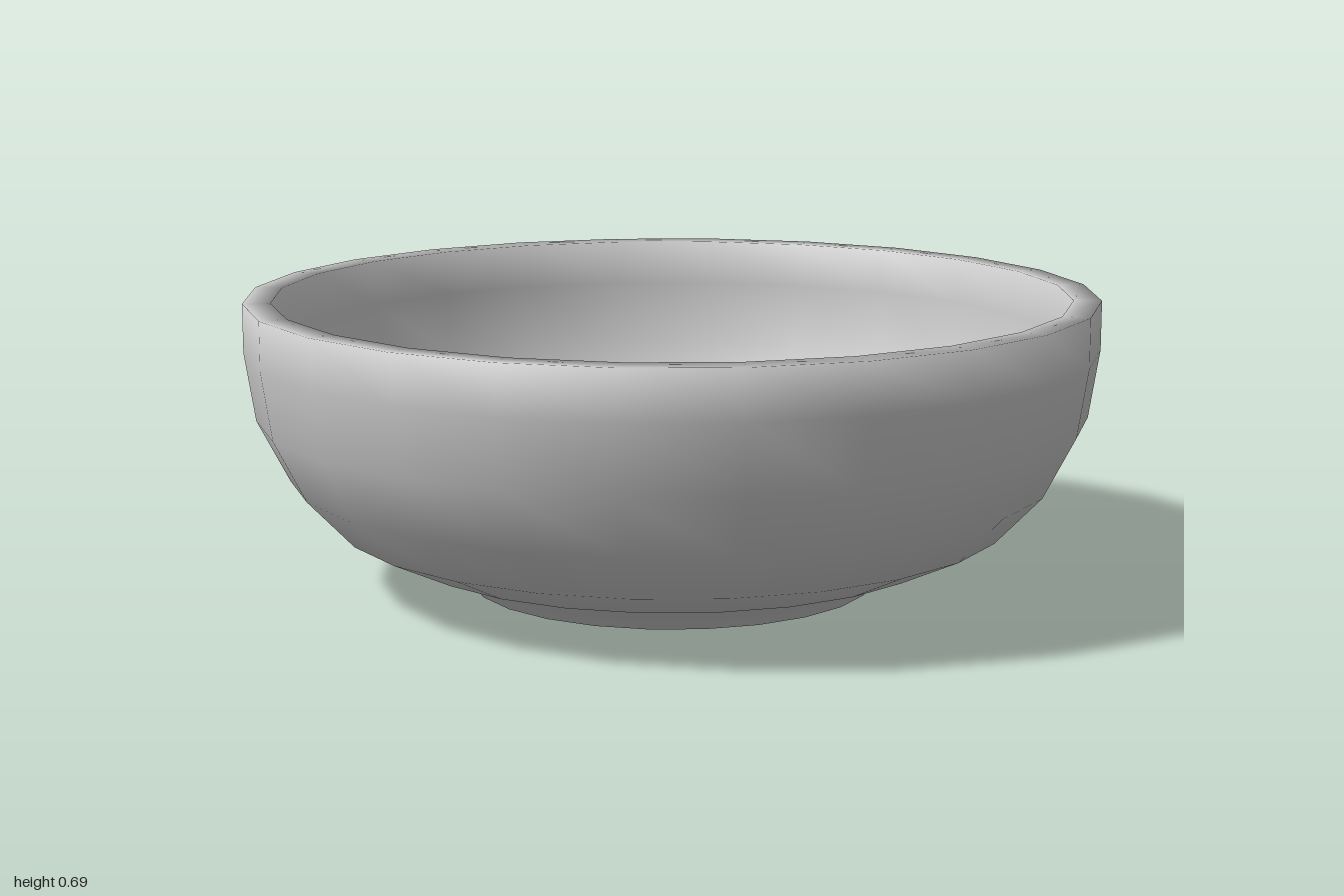
import * as THREE from 'three';

export function createModel() {
  const group = new THREE.Group();
  group.name = 'bowl';
  const material = new THREE.MeshStandardMaterial({ color: 0xcccccc });

  // Closed profile [radius, height]: underside, foot ring, outer wall, rim, inner wall
  const underside = [[0, 0.05], [0.355, 0.05], [0.42, 0]];
  const foot = [[0.48, 0], [0.48, 0.05]];
  const outerWall = [[0.64, 0.08], [0.79, 0.15], [0.9, 0.265], [0.975, 0.41], [1, 0.57], [1, 0.685]];
  const innerWall = [[0.935, 0.685], [0.935, 0.575], [0.91, 0.425], [0.845, 0.3],
    [0.745, 0.2], [0.61, 0.14], [0.46, 0.115], [0, 0.115]];

  const profile = [...underside, ...foot, ...outerWall, ...innerWall]
    .map(([r, y]) => new THREE.Vector2(r, y));

  // Smooth-shaded body turned in 24 sides
  const body = new THREE.Mesh(new THREE.LatheGeometry(profile, 24), material);
  body.name = 'bowlBody';
  group.add(body);
  return group;
}
